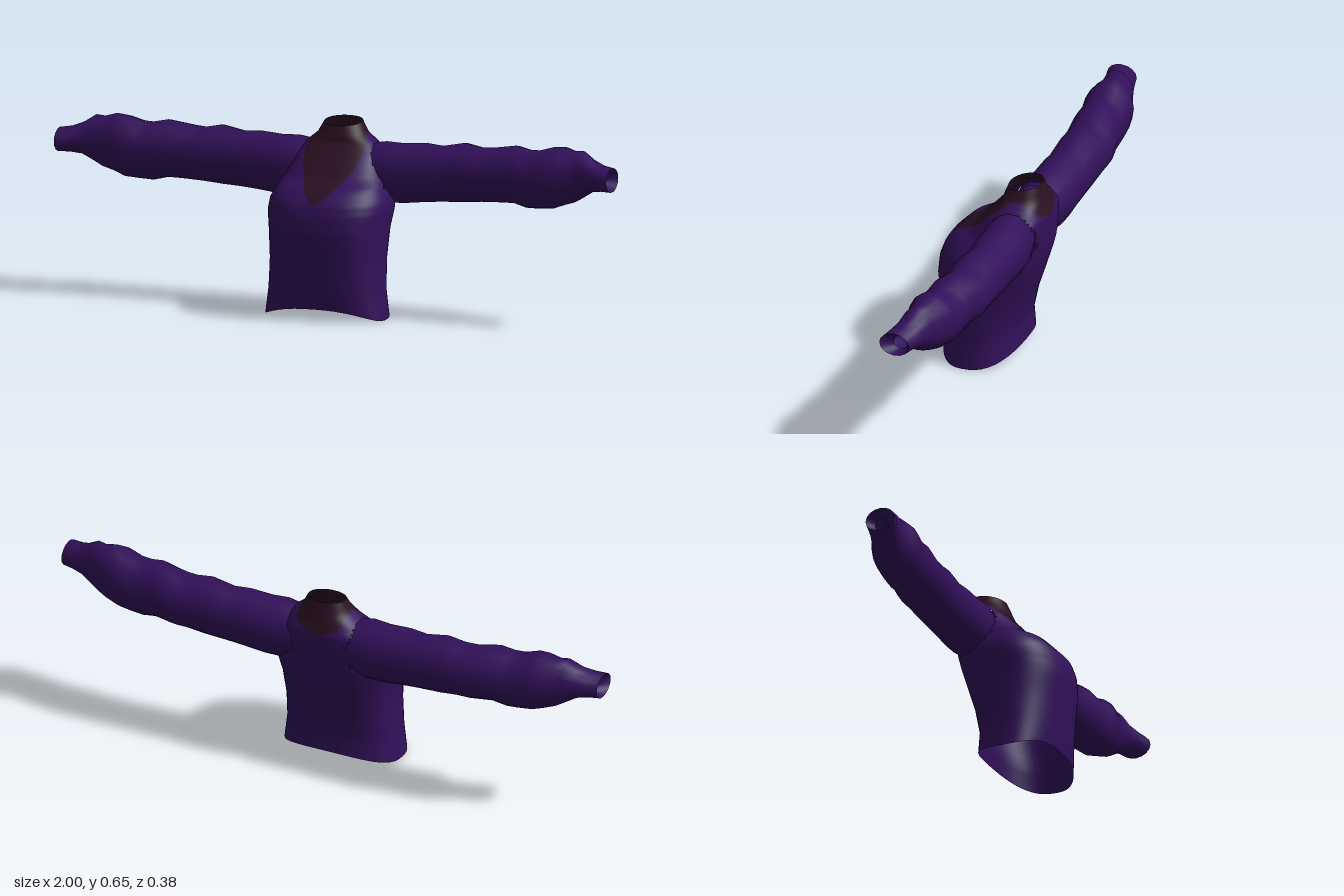
import * as THREE from 'three';

const purple = new THREE.MeshStandardMaterial({ color: 0x32105a, side: THREE.DoubleSide });
purple.name = 'deepPurple';
const brown = new THREE.MeshStandardMaterial({ color: 0x2b1023, side: THREE.DoubleSide });
brown.name = 'darkPlum';

// Skin a stack of closed rings; skip(centre) leaves holes
function loft(rings, skip = () => false) {
  const n = rings[0].length, index = [];
  const at = (i, j) => i * n + (j % n);
  for (let i = 0; i < rings.length - 1; i++) {
    for (let j = 0; j < n; j++) {
      const c = rings[i][j].clone().add(rings[i + 1][(j + 1) % n]).multiplyScalar(0.5);
      if (skip(c)) continue;
      index.push(at(i, j), at(i, j + 1), at(i + 1, j + 1), at(i, j), at(i + 1, j + 1), at(i + 1, j));
    }
  }
  const geo = new THREE.BufferGeometry().setFromPoints(rings.flat());
  geo.setIndex(index);
  geo.computeVertexNormals();
  return geo;
}

// Insert evenly spaced rows between the given ones
function subdivide(rows, k) {
  const out = [];
  rows.slice(0, -1).forEach((r, i) => {
    for (let s = 0; s < k; s++) out.push(r.map((v, c) => THREE.MathUtils.lerp(v, rows[i + 1][c], s / k)));
  });
  out.push(rows[rows.length - 1]);
  return out;
}

// Piecewise linear lookup in [key, value] pairs
function lookup(pairs, t) {
  for (let i = 1; i < pairs.length; i++) {
    const [a, va] = pairs[i - 1], [b, vb] = pairs[i];
    if (t <= b) return va + (vb - va) * (t - a) / (b - a);
  }
  return pairs[pairs.length - 1][1];
}

// Keep the part of a geometry where sign * field(point) >= 0
function clip(geo, field, sign) {
  const p = geo.attributes.position, nor = geo.attributes.normal, idx = geo.index.array;
  const pos = [], nrm = [];
  for (let t = 0; t < idx.length; t += 3) {
    const tri = [0, 1, 2].map((k) => {
      const v = new THREE.Vector3().fromBufferAttribute(p, idx[t + k]);
      return { v, n: new THREE.Vector3().fromBufferAttribute(nor, idx[t + k]), f: sign * field(v) };
    });
    const poly = [];
    tri.forEach((a, k) => {
      const b = tri[(k + 1) % 3];
      if (a.f >= 0) poly.push(a);
      if ((a.f >= 0) !== (b.f >= 0)) {
        const s = a.f / (a.f - b.f);
        poly.push({ v: a.v.clone().lerp(b.v, s), n: a.n.clone().lerp(b.n, s).normalize() });
      }
    });
    for (let k = 1; k < poly.length - 1; k++) {
      for (const q of [poly[0], poly[k], poly[k + 1]]) {
        pos.push(...q.v.toArray());
        nrm.push(...q.n.toArray());
      }
    }
  }
  const out = new THREE.BufferGeometry();
  out.setAttribute('position', new THREE.Float32BufferAttribute(pos, 3));
  out.setAttribute('normal', new THREE.Float32BufferAttribute(nrm, 3));
  return out;
}

// Torso rows: y, half width, front z, back z, z of widest point, squareness, side drop
const torsoRows = [
  [0.042, 0.212, 0.16, -0.102, 0.05, 0.8, 0.04],
  [0.11, 0.2, 0.169, -0.098, 0.045, 0.8, 0.015],
  [0.2, 0.196, 0.178, -0.118, 0.035, 0.8, 0],
  [0.3, 0.2, 0.19, -0.15, 0.025, 0.8, 0],
  [0.36, 0.208, 0.182, -0.167, 0.01, 0.78, 0],
  [0.4, 0.205, 0.167, -0.176, -0.01, 0.75, 0],
  [0.44, 0.188, 0.128, -0.181, -0.04, 0.7, 0],
  [0.468, 0.175, 0.075, -0.184, -0.06, 0.68, 0],
  [0.5, 0.16, 0.043, -0.187, -0.075, 0.66, 0],
  [0.54, 0.145, 0.008, -0.188, -0.085, 0.66, 0],
  [0.575, 0.12, -0.025, -0.174, -0.092, 0.7, 0],
  [0.605, 0.085, -0.032, -0.167, -0.098, 0.85, 0],
  [0.642, 0.066, -0.042, -0.156, -0.1, 0.95, 0],
];
const SEG = 48;
function torsoRing([y, w, zf, zb, zc, e, drop]) {
  const pow = (v) => Math.sign(v) * Math.abs(v) ** e;
  return Array.from({ length: SEG }, (_, j) => {
    const a = (j / SEG) * Math.PI * 2, s = Math.sin(a), c = Math.cos(a);
    const z = zc + pow(c) * (c > 0 ? zf - zc : zc - zb);
    const tilt = y > 0.605 ? -(z + 0.1) * (y - 0.605) * 4 : 0;
    return new THREE.Vector3(w * pow(s), y - drop * s * s + tilt, z);
  });
}

// Half width of the neck panel by height, for front and back
const frontPanel = [[0, -0.6], [0.39, 0], [0.42, 0.036], [0.46, 0.066], [0.5, 0.09], [0.55, 0.107], [0.58, 0.104], [0.605, 0.085], [0.62, 0.2]];
const backPanel = [[0, -0.6], [0.535, -0.02], [0.545, 0.045], [0.57, 0.085], [0.605, 0.085], [0.62, 0.2]];
const panelField = (v) => lookup(v.z > -0.095 ? frontPanel : backPanel, v.y) - Math.abs(v.x);

// Armhole: leaves the torso open into each sleeve
const armhole = (c) => Math.abs(c.x) > 0.1 && ((c.y - 0.485) / 0.088) ** 2 + ((c.z + 0.095) / 0.085) ** 2 < 1;

// Sleeve rows: x, top y, bottom y, front z, back z
const sleeveRows = [
  [0.1, 0.573, 0.4, -0.018, -0.172],
  [0.16, 0.583, 0.375, -0.006, -0.184],
  [0.22, 0.58, 0.376, -0.01, -0.186],
  [0.3, 0.586, 0.385, -0.016, -0.186],
  [0.36, 0.58, 0.39, -0.018, -0.186],
  [0.44, 0.596, 0.394, -0.018, -0.188],
  [0.5, 0.584, 0.4, -0.012, -0.188],
  [0.55, 0.588, 0.402, -0.014, -0.19],
  [0.63, 0.602, 0.406, -0.006, -0.176],
  [0.68, 0.592, 0.394, 0.0, -0.168],
  [0.72, 0.594, 0.396, 0.002, -0.165],
  [0.77, 0.609, 0.4, 0.01, -0.162],
  [0.81, 0.613, 0.415, -0.002, -0.155],
  [0.85, 0.602, 0.428, -0.008, -0.135],
  [0.88, 0.606, 0.445, -0.01, -0.124],
  [0.92, 0.58, 0.47, -0.004, -0.11],
  [0.96, 0.565, 0.477, 0.01, -0.098],
  [1.0, 0.56, 0.478, 0.02, -0.087],
];
const liningRows = [sleeveRows[sleeveRows.length - 1], [0.965, 0.537, 0.489, -0.019, -0.067]];
function sleeveRing([x, top, bottom, front, back]) {
  return Array.from({ length: 16 }, (_, j) => {
    const a = (j / 16) * Math.PI * 2;
    return new THREE.Vector3(
      x,
      (top + bottom) / 2 + Math.cos(a) * (top - bottom) / 2,
      (front + back) / 2 + Math.sin(a) * (front - back) / 2);
  });
}

export function createModel() {
  const model = new THREE.Group();
  model.name = 'sweater';
  const add = (parent, name, geo, mat) => {
    const mesh = new THREE.Mesh(geo, mat);
    mesh.name = name;
    parent.add(mesh);
  };

  // Body with the V panel and collar cut out as a second colour
  const torso = loft(subdivide(torsoRows, 3).map(torsoRing), armhole);
  add(model, 'body', clip(torso, panelField, -1), purple);
  add(model, 'neckPanelAndCollar', clip(torso, panelField, 1), brown);

  // Mirrored sleeves with turned-in cuffs
  const sleeve = loft(sleeveRows.map(sleeveRing));
  const lining = loft(liningRows.map(sleeveRing));
  for (const side of [1, -1]) {
    const arm = new THREE.Group();
    arm.name = side > 0 ? 'leftSleeve' : 'rightSleeve';
    arm.scale.x = side;
    add(arm, 'sleeve', sleeve, purple);
    add(arm, 'cuffLining', lining, purple);
    model.add(arm);
  }
  return model;
}
